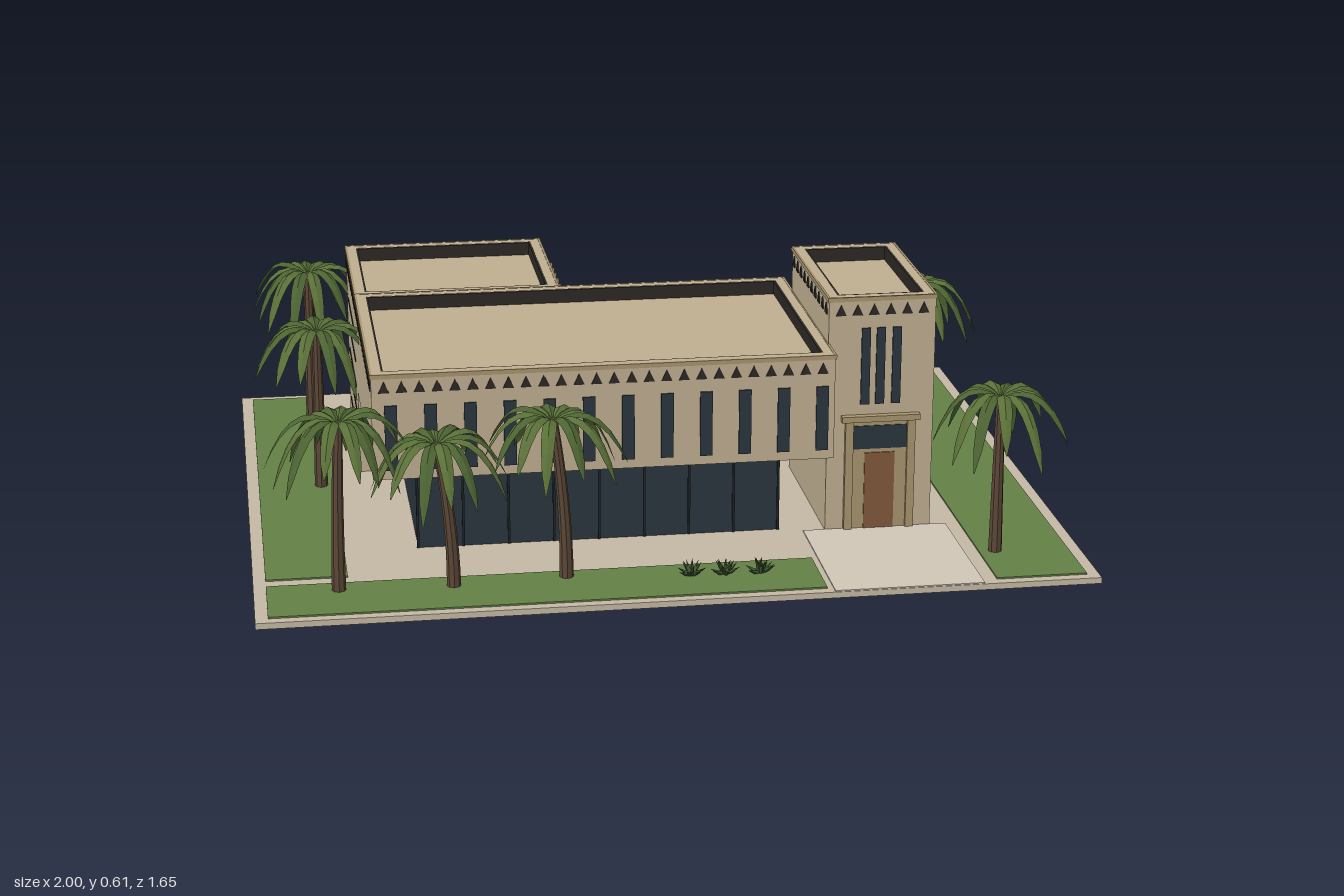
import * as THREE from 'three';
import { mergeGeometries } from 'three/addons/utils/BufferGeometryUtils.js';

const mats = {};
const mat = (color) => (mats[color] ??= new THREE.MeshStandardMaterial({ color, flatShading: true, side: THREE.DoubleSide }));
const WALL = 0xbfae90, TRIM = 0xa8946f, GLASS = 0x2a353d, DARK = 0x2b2824, GRASS = 0x648046;
const WOOD = 0x80583a, PAVING = 0xc4b8a4, LIGHT = 0xd0c6b6, WATER = 0x4a90b0, TRUNK = 0x5a4636;
const GROUND = 0.015;

let seed = 7;
const rand = () => (seed = (seed * 16807) % 2147483647) / 2147483647;

function add(parent, name, geometry, color) {
  const mesh = new THREE.Mesh(geometry, mat(color));
  mesh.name = name;
  parent.add(mesh);
  return mesh;
}

// Box given by its extents on each axis
function box(parent, name, [x0, x1], [y0, y1], [z0, z1], color) {
  const m = add(parent, name, new THREE.BoxGeometry(x1 - x0, y1 - y0, z1 - z0), color);
  m.position.set((x0 + x1) / 2, (y0 + y1) / 2, (z0 + z1) / 2);
  return m;
}

// Thin panel on a wall: axis is the wall normal, at its plane, u the range along the wall
function panel(parent, name, axis, at, u, y, color, depth = 0.008) {
  const d = [at - depth / 2, at + depth / 2];
  return axis === 'z' ? box(parent, name, u, y, d, color) : box(parent, name, d, y, u, color);
}

// Row of small triangular openings below a parapet
function triangleRow(parent, axis, at, [u0, u1], y) {
  const s = new THREE.Shape([[-0.013, 0], [0.013, 0], [0, 0.028]].map((p) => new THREE.Vector2(...p)));
  const n = Math.round((u1 - u0) / 0.043), parts = [];
  for (let i = 0; i <= n; i++) {
    const g = new THREE.ExtrudeGeometry(s, { depth: 0.006, bevelEnabled: false });
    g.translate(u0 + ((u1 - u0) * i) / n, y, -0.003);
    parts.push(g);
  }
  const row = add(parent, 'triangleOpenings', mergeGeometries(parts), DARK);
  if (axis === 'x') row.rotation.y = -Math.PI / 2;
  row.position[axis] = at;
}

// Rectangular frame lying flat, with a wall thickness t
function ring(parent, name, [x0, x1], [z0, z1], t, y0, y1, color) {
  const rect = (P, a, b, c, d) => new P([[a, c], [b, c], [b, d], [a, d]].map((p) => new THREE.Vector2(...p)));
  const s = rect(THREE.Shape, x0, x1, -z1, -z0);
  s.holes.push(rect(THREE.Path, x0 + t, x1 - t, -z1 + t, -z0 - t));
  const m = add(parent, name, new THREE.ExtrudeGeometry(s, { depth: y1 - y0, bevelEnabled: false }), color);
  m.rotation.x = -Math.PI / 2;
  m.position.y = y0;
}

// Block with sunken roof, dark-lined parapet and triangle rows on all sides
function block(name, x, y, z) {
  const g = new THREE.Group(), t = 0.026, top = y[1];
  g.name = name;
  box(g, name + 'Walls', x, [y[0], top - 0.035], z, WALL);
  ring(g, 'parapet', x, z, t, top - 0.035, top, WALL);
  ring(g, 'parapetLining', [x[0] + t, x[1] - t], [z[0] + t, z[1] - t], 0.005, top - 0.035, top - 0.001, DARK);
  ring(g, 'coping', [x[0] - 0.003, x[1] + 0.003], [z[0] - 0.003, z[1] + 0.003], 0.006, top - 0.01, top + 0.001, TRIM);
  for (const e of [0, 1]) {
    triangleRow(g, 'z', z[e], [x[0] + 0.03, x[1] - 0.03], top - 0.045);
    triangleRow(g, 'x', x[e], [z[0] + 0.03, z[1] - 0.03], top - 0.045);
  }
  return g;
}

// Folded, drooping leaf blade built from V-shaped cross-sections
function frond(length, droop, width) {
  const pos = [], idx = [], n = 7;
  for (let i = 0; i <= n; i++) {
    const t = i / n, w = width * (0.25 + 0.75 * Math.sin(Math.PI * Math.min(1, t * 0.85 + 0.1))) * (t === 1 ? 0.2 : 1);
    const r = length * (t - 0.12 * t * t * t) / 0.88, y = 0.13 * t * length - droop * Math.pow(t, 2) + 0.035 * Math.sin(Math.PI * t);
    pos.push(r, y - w * 0.5, w, r, y, 0, r, y - w * 0.5, -w);
    if (i < n) for (const k of [0, 1]) {
      const a = i * 3 + k;
      idx.push(a, a + 3, a + 1, a + 1, a + 3, a + 4);
    }
  }
  const g = new THREE.BufferGeometry();
  g.setAttribute('position', new THREE.Float32BufferAttribute(pos, 3));
  g.setIndex(idx);
  g.computeVertexNormals();
  return g;
}

function palm(x, z, h, lean, size) {
  const g = new THREE.Group();
  g.name = 'palmTree';
  const trunk = new THREE.CylinderGeometry(0.011, 0.017, h, 8, 8).translate(0, h / 2, 0);
  const p = trunk.attributes.position;
  for (let i = 0; i < p.count; i++) p.setX(i, p.getX(i) - lean * (1 - (p.getY(i) / h) ** 2));
  trunk.computeVertexNormals();
  add(g, 'trunk', trunk, TRUNK);
  const leaves = [[], []], n = 13, turn = rand() * 6;
  for (let i = 0; i < n; i++) {
    const f = frond(size * (0.82 + 0.18 * rand()), 0.1 + 0.07 * rand(), 0.017);
    leaves[i % 2].push(f.rotateY(turn + ((i + 0.4 * rand()) * Math.PI * 2) / n).translate(0, h - 0.005, 0));
  }
  leaves.forEach((l, i) => add(g, 'fronds', mergeGeometries(l), [0x5a7038, 0x4c6332][i]));
  g.position.set(x, GROUND, z);
  return g;
}

export function createModel() {
  const model = new THREE.Group();
  model.name = 'courtyardVilla';

  // Plot, lawns and path
  box(model, 'groundSlab', [-1, 1], [0, GROUND], [-0.84, 0.8], PAVING);
  const flat = (name, x, z, h, color) => box(model, name, x, [0.01, GROUND + h], z, color);
  flat('sideLawn', [-0.97, -0.775], [-0.81, 0.545], 0.004, GRASS);
  flat('frontLawn', [-0.97, 0.34], [0.585, 0.775], 0.004, GRASS);
  flat('sideLawn', [0.75, 0.97], [-0.81, 0.775], 0.004, GRASS);
  flat('entrancePath', [0.355, 0.715], [0.4, 0.798], 0.003, LIGHT);

  // Pool, deck and garden wall
  flat('poolCoping', [-0.15, 0.675], [-0.54, -0.28], 0.004, LIGHT);
  flat('poolWater', [-0.13, 0.655], [-0.52, -0.3], 0.006, WATER);
  flat('woodDeck', [-0.175, 0.695], [-0.265, -0.17], 0.008, WOOD);
  box(model, 'gardenWall', [0.695, 0.71], [GROUND, 0.095], [-0.72, -0.168], TRIM);

  // Glazed ground floor
  const gx = [-0.595, 0.295], gz = [-0.13, 0.375];
  box(model, 'groundFloorGlass', gx, [GROUND, 0.235], gz, GLASS);
  for (let i = 0; i <= 8; i++) {
    const x = gx[0] + ((gx[1] - gx[0]) * i) / 8;
    for (const z of gz) panel(model, 'mullion', 'z', z, [x - 0.003, x + 0.003], [GROUND, 0.235], 0x1b2227);
  }

  // Upper main block with slit windows at the front and a wide one behind
  const main = block('mainBlock', [-0.705, 0.41], [0.235, 0.497], [-0.19, 0.485]);
  for (let i = 0; i < 12; i++) {
    const x = -0.66 + i * 0.0945;
    panel(main, 'slitWindow', 'z', 0.485, [x - 0.015, x + 0.015], [0.258, 0.42], GLASS);
  }
  panel(main, 'rearWindowFrame', 'z', -0.19, [-0.13, 0.37], [0.265, 0.425], TRIM, 0.008);
  panel(main, 'rearWindow', 'z', -0.19, [-0.12, 0.36], [0.275, 0.415], GLASS, 0.012);
  model.add(main);

  // Rear wing with poolside glazing, fins, slits and grooves
  const wing = block('rearWing', [-0.705, -0.18], [GROUND, 0.495], [-0.66, -0.19]);
  panel(wing, 'upperWindow', 'x', -0.18, [-0.625, -0.27], [0.245, 0.415], GLASS);
  panel(wing, 'lowerWindow', 'x', -0.18, [-0.62, -0.27], [GROUND, 0.21], GLASS);
  for (let i = 0; i < 9; i++) {
    const z = -0.645 + i * 0.0515;
    box(wing, 'shadeFin', [-0.18, -0.145], [0.235, 0.43], [z - 0.004, z + 0.004], TRIM);
  }
  for (const x of [-0.61, -0.55, -0.49]) panel(wing, 'slitWindow', 'z', -0.66, [x - 0.011, x + 0.011], [0.09, 0.4], GLASS);
  for (let i = 0; i < 5; i++) panel(wing, 'wallGroove', 'x', -0.705, [-0.57, -0.24], [0.09 + i * 0.07, 0.097 + i * 0.07], DARK, 0.005);
  model.add(wing);

  // Entrance tower
  const tower = block('entranceTower', [0.41, 0.675], [GROUND, 0.613], [-0.07, 0.398]);
  for (const x of [0.503, 0.54, 0.58]) panel(tower, 'slitWindow', 'z', 0.398, [x - 0.011, x + 0.011], [0.34, 0.535], GLASS);
  for (const z of [0.17, 0.252, 0.335]) panel(tower, 'slitWindow', 'x', 0.675, [z - 0.01, z + 0.01], [0.09, 0.51], GLASS);
  for (let i = 0; i < 7; i++) panel(tower, 'wallGroove', 'x', 0.675, [-0.04, 0.13], [0.086 + i * 0.07, 0.093 + i * 0.07], DARK, 0.005);
  for (const x of [0.455, 0.61]) panel(tower, 'doorJamb', 'z', 0.398, [x, x + 0.02], [GROUND, 0.3], TRIM, 0.024);
  panel(tower, 'doorSurround', 'z', 0.398, [0.475, 0.61], [GROUND, 0.3], TRIM, 0.008);
  panel(tower, 'doorCornice', 'z', 0.398, [0.445, 0.64], [0.298, 0.313], TRIM, 0.036);
  panel(tower, 'transomGlass', 'z', 0.398, [0.475, 0.61], [0.225, 0.285], GLASS, 0.012);
  panel(tower, 'frontDoor', 'z', 0.398, [0.505, 0.58], [GROUND, 0.215], WOOD, 0.014);
  model.add(tower);

  // Slatted pergola beside the pool
  const pergola = new THREE.Group();
  pergola.name = 'pergola';
  for (const z of [-0.695, -0.563]) {
    box(pergola, 'beam', [-0.155, 0.35], [0.19, 0.2], [z - 0.004, z + 0.004], DARK);
    for (const x of [-0.15, 0.345]) box(pergola, 'post', [x - 0.005, x + 0.005], [GROUND, 0.192], [z - 0.005, z + 0.005], DARK);
  }
  for (let i = 0; i < 16; i++) {
    const x = -0.151 + i * 0.0331;
    box(pergola, 'slat', [x - 0.003, x + 0.003], [0.197, 0.206], [-0.7, -0.558], DARK);
  }
  model.add(pergola);

  // Palms: x, z, height, lean, frond length
  for (const p of [[-0.81, -0.66, 0.41, 0, 0.18], [-0.81, -0.09, 0.42, 0, 0.18], [-0.79, 0.63, 0.42, 0.01, 0.185],
    [-0.565, 0.64, 0.36, -0.035, 0.18], [-0.29, 0.62, 0.4, -0.03, 0.18], [0.79, 0.6, 0.4, 0, 0.18], [0.81, -0.38, 0.39, 0.01, 0.18]]) model.add(palm(...p));

  // Low spiky shrubs
  for (const [x, z] of [[0.035, 0.65], [0.115, 0.655], [0.2, 0.66]]) {
    const blades = [];
    for (let i = 0; i < 16; i++) {
      const c = new THREE.ConeGeometry(0.008, 0.042, 4).translate(0, 0.021, 0);
      blades.push(c.rotateZ(-0.3 - 0.9 * rand()).rotateY(i * 2.4));
    }
    add(model, 'shrub', mergeGeometries(blades), 0x3f5530).position.set(x, GROUND, z);
  }
  return model;
}
